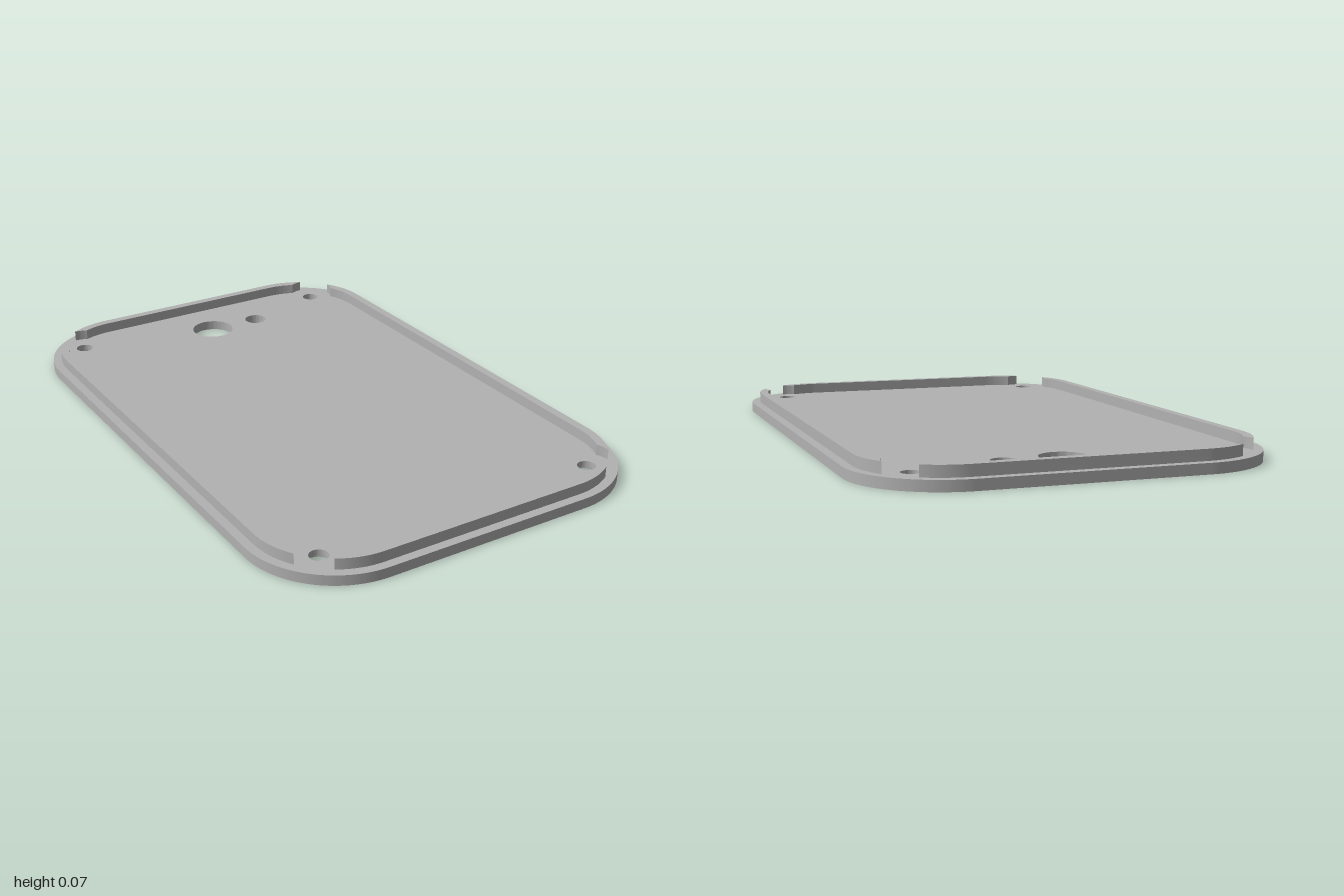
import * as THREE from 'three';
import { toCreasedNormals } from 'three/addons/utils/BufferGeometryUtils.js';

const HALF_W = 0.66, HALF_L = 1, CORNER = 0.3;
const PLATE_TOP = 0.034, RECESS = 0.015, LIP_TOP = 0.07;
const SCREW = [0.5, 0.845], SCREW_R = 0.03, HEAD_R = 0.045, BOSS_R = 0.085;
const RING_Z = -0.34, RING_OUT = 0.63, RING_IN = 0.515;
const KEY_W = 0.065, KEY_Z = 0.46;

const grey = new THREE.MeshStandardMaterial({ color: 0xb2b2b2 });
grey.name = 'light grey plastic';

// Extrudes a plan shape (x, z) between two heights.
function slab(name, shape, y0, y1) {
  const geo = new THREE.ExtrudeGeometry(shape, { depth: y1 - y0, bevelEnabled: false, curveSegments: 32 });
  geo.rotateX(Math.PI / 2);
  geo.translate(0, y1, 0);
  const mesh = new THREE.Mesh(toCreasedNormals(geo, 0.5), grey);
  mesh.name = name;
  return mesh;
}

function circle(x, z, r) {
  return new THREE.Path().absarc(x, z, r, 0, Math.PI * 2, false);
}

function roundedPlate() {
  const s = new THREE.Shape();
  const cx = HALF_W - CORNER, cz = HALF_L - CORNER;
  [[cx, cz], [-cx, cz], [-cx, -cz], [cx, -cz]].forEach(([x, z], i) =>
    s.absarc(x, z, CORNER, i * Math.PI / 2, (i + 1) * Math.PI / 2, false));
  s.closePath();
  return s;
}

function screwHoles(r) {
  const holes = [];
  for (const sx of [-1, 1]) for (const sz of [-1, 1]) holes.push(circle(sx * SCREW[0], sz * SCREW[1], r));
  return holes;
}

function cameraHoles() {
  return [circle(0, -0.755, 0.077), circle(0.19, -0.755, 0.04)];
}

// Lip along the +x side of a plate, following the corners until a
// circular clearance around each screw cuts it off.
function lipShape(halfW, halfL, hole) {
  const c = new THREE.Vector2(halfW - CORNER, halfL - CORNER);
  const h = new THREE.Vector2(...hole);
  const dir = h.clone().sub(c), d = dir.length();
  const base = dir.angle();
  const rOut = CORNER - 0.03, rIn = CORNER - 0.06;
  const cutAngle = r => base - Math.acos((r * r + d * d - BOSS_R * BOSS_R) / (2 * r * d));
  const at = (r, a) => new THREE.Vector2(c.x + r * Math.cos(a), c.y + r * Math.sin(a));
  const aOut = cutAngle(rOut), aIn = cutAngle(rIn), n = 12;
  const half = [];
  for (let i = 0; i <= n; i++) half.push(at(rOut, aOut * i / n));
  // concave end around the screw
  const b0 = at(rOut, aOut).sub(h), b1 = at(rIn, aIn).sub(h);
  const t0 = Math.atan2(b0.y, b0.x), t1 = Math.atan2(b1.y, b1.x);
  for (let i = 1; i < 6; i++) {
    const t = t0 + (t1 - t0) * i / 6;
    half.push(new THREE.Vector2(h.x + BOSS_R * Math.cos(t), h.y + BOSS_R * Math.sin(t)));
  }
  for (let i = n; i >= 0; i--) half.push(at(rIn, aIn * i / n));
  const mirrored = half.map(p => new THREE.Vector2(p.x, -p.y)).reverse();
  return half.concat(mirrored);
}

export function createModel() {
  const model = new THREE.Group();
  model.name = 'backCover';

  // Upper layer of the plate, pierced by screw and camera holes
  const upper = roundedPlate();
  upper.holes.push(...screwHoles(SCREW_R), ...cameraHoles());
  model.add(slab('plate', upper, RECESS, PLATE_TOP));

  // Lower layer, with screw head recesses and the keyed ring groove
  const lower = roundedPlate();
  const groove = new THREE.Path();
  const key = Math.asin(KEY_W / RING_OUT);
  groove.absarc(0, RING_Z, RING_OUT, Math.PI / 2 + key, Math.PI * 2.5 - key, false);
  groove.lineTo(KEY_W, KEY_Z);
  groove.lineTo(-KEY_W, KEY_Z);
  groove.closePath();
  lower.holes.push(...screwHoles(HEAD_R), groove);
  model.add(slab('underside', lower, 0, RECESS));

  // Disc left standing inside the groove
  const disc = new THREE.Shape().absarc(0, RING_Z, RING_IN, 0, Math.PI * 2, false);
  disc.holes.push(...cameraHoles());
  model.add(slab('ringCentre', disc, 0, RECESS));

  // Four raised lips
  const side = new THREE.Shape(lipShape(HALF_W, HALF_L, SCREW));
  const end = new THREE.Shape(lipShape(HALF_L, HALF_W, [SCREW[1], SCREW[0]])
    .map(p => new THREE.Vector2(p.y, p.x)));
  [['leftLip', side, 0], ['rightLip', side, Math.PI], ['frontLip', end, 0], ['backLip', end, Math.PI]]
    .forEach(([name, shape, turn]) => {
      const lip = slab(name, shape, PLATE_TOP, LIP_TOP);
      lip.rotation.y = turn;
      model.add(lip);
    });

  return model;
}
